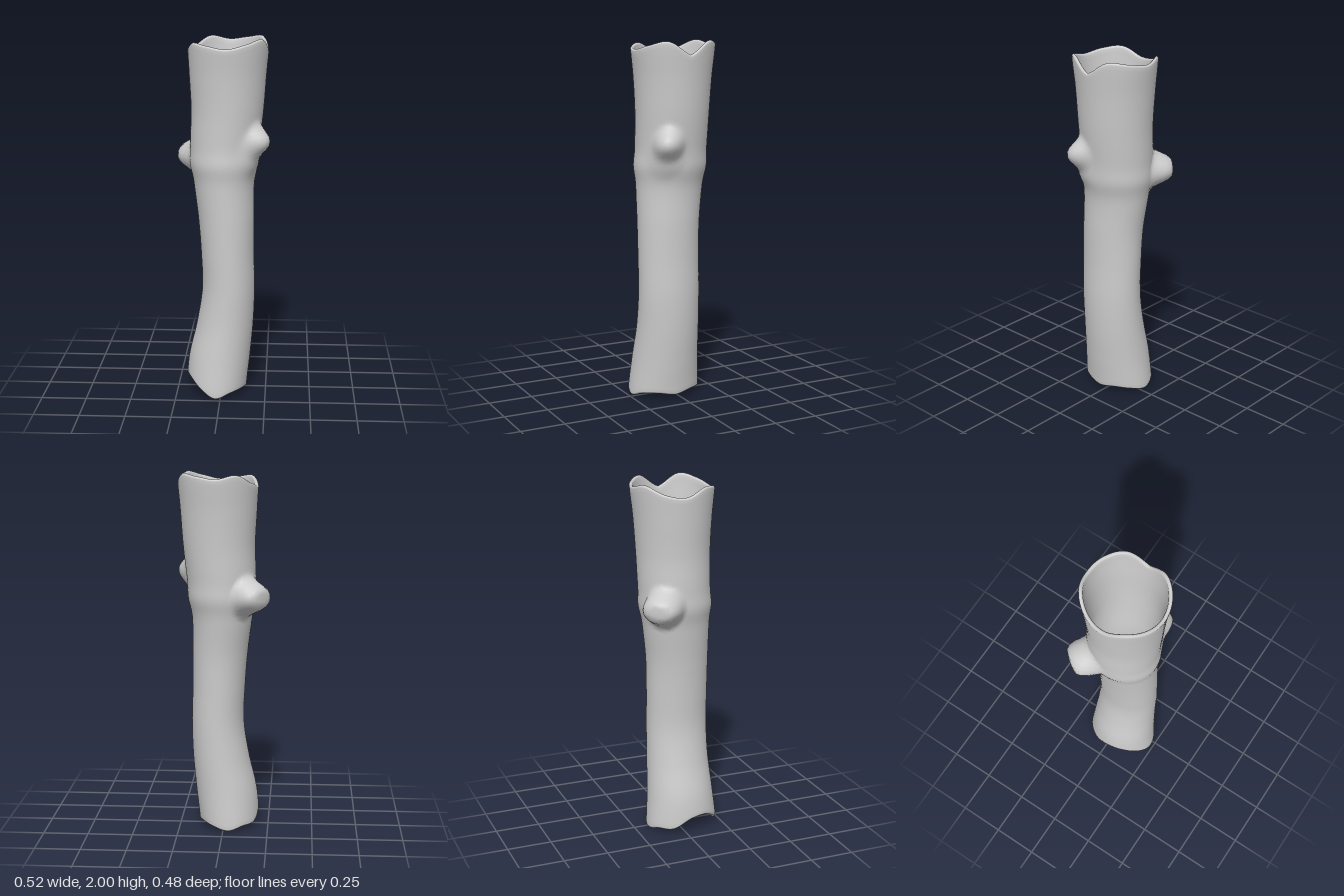
import * as THREE from 'three';

const COLS = 72, ROWS = 84, WALL = 0.021;

// smooth curve through evenly spaced values, read with u in 0..1
const spline = (values) => {
  const curve = new THREE.SplineCurve(values.map((v, i) => new THREE.Vector2(i, v)));
  return (u) => curve.getPoint(THREE.MathUtils.clamp(u, 0, 1)).y;
};

// trunk extents at every 0.2 of height, from the ground up
const xMin = spline([-0.2, -0.185, -0.14, -0.11, -0.115, -0.13, -0.155, -0.175, -0.17, -0.18, -0.19]);
const xMax = spline([0.14, 0.16, 0.178, 0.185, 0.18, 0.18, 0.18, 0.205, 0.228, 0.243, 0.26]);
const zMin = spline([-0.18, -0.165, -0.155, -0.15, -0.15, -0.155, -0.178, -0.198, -0.204, -0.217, -0.237]);
const zMax = spline([0.236, 0.218, 0.203, 0.2, 0.2, 0.2, 0.2, 0.203, 0.206, 0.216, 0.235]);

// broken rim heights every 30 degrees, from +x towards +z
const topEdge = spline([1.915, 1.985, 1.965, 1.94, 1.955, 1.965, 1.92, 1.935, 1.98, 1.96, 1.975, 1.985, 1.915]);
const bottomEdge = spline([0.03, 0.045, 0.04, 0.015, 0.06, 0.105, 0.1, 0.045, 0.04, 0.018, 0.035, 0.045, 0.03]);

// branch stubs: direction, height, size and softness
const knots = [
  { angle: 218, y: 1.33, push: 0.106, flat: 0.045, reach: 0.125, wide: 0.2 },
  { angle: 29, y: 1.45, push: 0.062, flat: 0.01, reach: 0.11, wide: 0.22 },
  { angle: 33, y: 1.4, push: 0.026, flat: 0.01, reach: 0.17, wide: 0.26 },
];

function bulge(theta, y) {
  let sum = 0.01 * Math.exp(-(((y - 1.31) / 0.06) ** 2));
  for (const k of knots) {
    const delta = theta - THREE.MathUtils.degToRad(k.angle);
    const turn = Math.atan2(Math.sin(delta), Math.cos(delta));
    const d = Math.hypot(turn * k.wide, y - k.y);
    sum += k.push * (1 - THREE.MathUtils.smoothstep(d, k.flat, k.reach));
  }
  return sum;
}

function trunkPoint(theta, y, inset, outer) {
  const u = y / 2, c = Math.cos(theta), s = Math.sin(theta);
  const [x0, x1, z0, z1] = [xMin(u), xMax(u), zMin(u), zMax(u)];
  const grow = (outer ? bulge(theta, y) : 0) - inset;
  return [(x0 + x1) / 2 + c * ((x1 - x0) / 2 + grow), y, (z0 + z1) / 2 + s * ((z1 - z0) / 2 + grow)];
}

// closed wall profile: up the outside, over the rim, down the inside, round the bottom
function wallProfile() {
  const steps = [];
  const lip = [0.15, 0.5, 0.85].map((f) => [f * WALL, 0.012 * Math.sin(f * Math.PI)]);
  for (let j = 0; j <= ROWS; j++) steps.push({ t: j / ROWS, inset: 0, lift: 0, outer: true });
  for (const [inset, lift] of lip) steps.push({ t: 1, inset, lift, outer: false });
  for (let j = ROWS; j >= 0; j--) steps.push({ t: j / ROWS, inset: WALL, lift: 0, outer: false });
  for (const [inset, lift] of lip.reverse()) steps.push({ t: 0, inset, lift: -lift, outer: false });
  return steps;
}

function hollowTrunk() {
  const steps = wallProfile(), positions = [], index = [];
  for (const { t, inset, lift, outer } of steps) {
    for (let i = 0; i < COLS; i++) {
      const f = i / COLS;
      const y = THREE.MathUtils.lerp(bottomEdge(f), topEdge(f), t) + lift;
      positions.push(...trunkPoint(f * Math.PI * 2, y, inset, outer));
    }
  }
  for (let j = 0; j < steps.length; j++) {
    const next = (j + 1) % steps.length;
    for (let i = 0; i < COLS; i++) {
      const k = (i + 1) % COLS;
      const a = j * COLS + i, b = j * COLS + k, c = next * COLS + i, d = next * COLS + k;
      index.push(a, c, b, b, c, d);
    }
  }
  const geometry = new THREE.BufferGeometry();
  geometry.setAttribute('position', new THREE.Float32BufferAttribute(positions, 3));
  geometry.setIndex(index);
  geometry.computeVertexNormals();
  return geometry;
}

export function createModel() {
  const group = new THREE.Group();
  group.name = 'hollowLog';
  const trunk = new THREE.Mesh(hollowTrunk(), new THREE.MeshStandardMaterial({ color: 0xcccccc }));
  trunk.name = 'hollowTrunk';
  group.add(trunk);
  return group;
}
